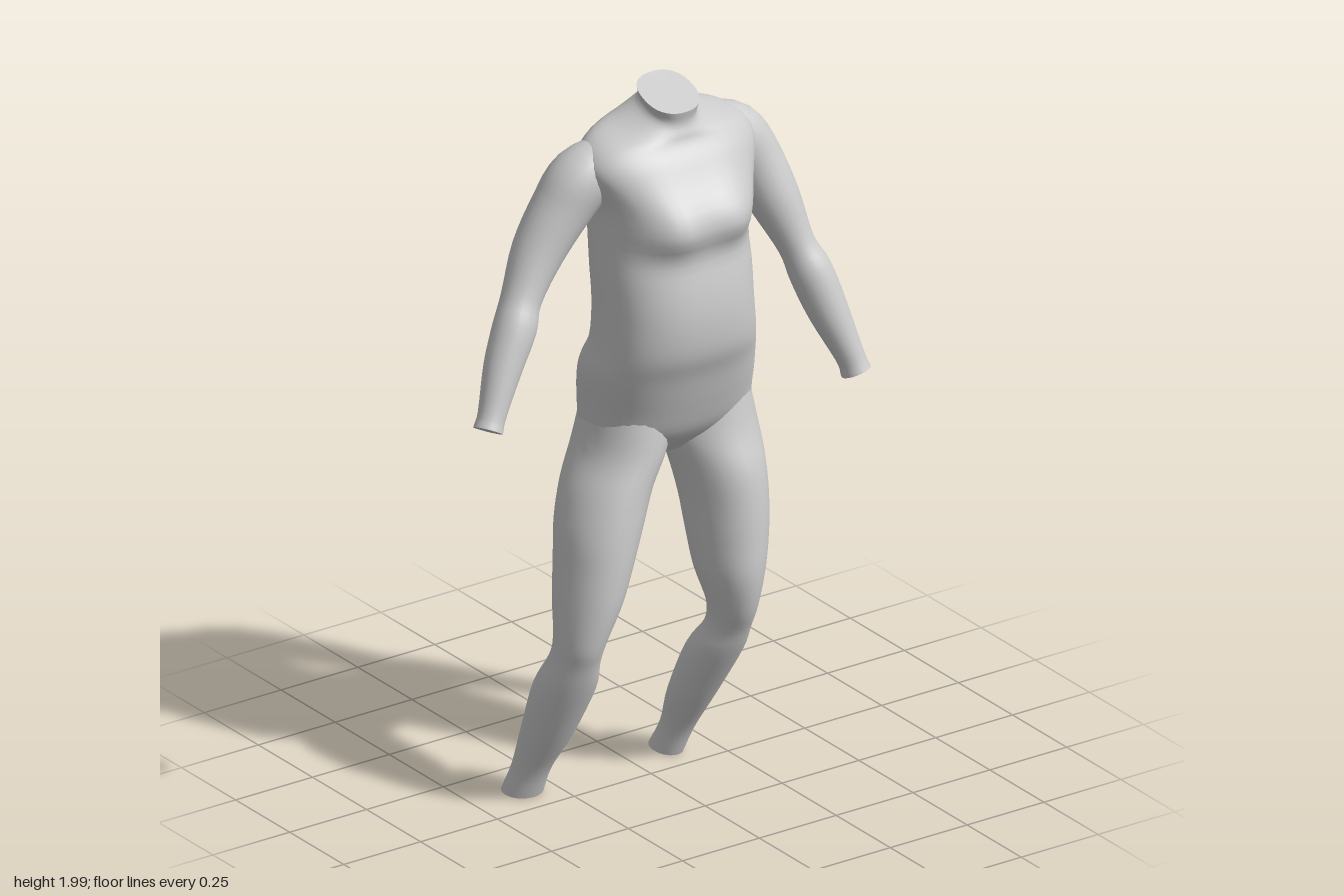
import * as THREE from 'three';

const material = new THREE.MeshStandardMaterial({ color: 0xcccccc, side: THREE.DoubleSide });
const Z = new THREE.Vector3(0, 0, 1);

// Smooth closed skin through cross-sections listed from top to bottom.
// section: { c: centre, r: (half width, half depth, forward slope) }
function loft(name, sections, { sides = 24, steps = 4, power = 1, follow = false, shape } = {}) {
  const centres = new THREE.CatmullRomCurve3(sections.map(s => s.c), false, 'catmullrom', 0.5);
  const radii = new THREE.CatmullRomCurve3(sections.map(s => s.r), false, 'catmullrom', 0.5);
  const rows = (sections.length - 1) * steps;
  const pos = [], index = [];
  const soft = k => Math.sign(k) * Math.abs(k) ** power;
  for (let i = 0; i <= rows; i++) {
    const c = centres.getPoint(i / rows), r = radii.getPoint(i / rows);
    const u = new THREE.Vector3(1, 0, 0), v = new THREE.Vector3(0, r.z, 1);
    if (follow) {
      const t = centres.getTangent(i / rows);
      u.crossVectors(Z, t).normalize();
      v.crossVectors(t, u);
    }
    for (let j = 0; j < sides; j++) {
      const a = j / sides * Math.PI * 2;
      const p = c.clone().addScaledVector(u, soft(Math.cos(a)) * r.x).addScaledVector(v, soft(Math.sin(a)) * r.y);
      if (shape) shape(p, Math.sin(a));
      pos.push(p.x, p.y, p.z);
    }
  }
  for (let i = 0; i < rows; i++) for (let j = 0; j < sides; j++) {
    const a = i * sides + j, b = i * sides + (j + 1) % sides;
    index.push(a, b, a + sides, b, b + sides, a + sides);
  }
  // flat end caps with their own vertices
  for (const row of [0, rows]) {
    const start = pos.length / 3, c = centres.getPoint(row / rows);
    pos.push(...pos.slice(row * sides * 3, (row + 1) * sides * 3), c.x, c.y, c.z);
    for (let j = 0; j < sides; j++) {
      const a = start + j, b = start + (j + 1) % sides, m = start + sides;
      index.push(m, ...(row === 0 ? [b, a] : [a, b]));
    }
  }
  const geo = new THREE.BufferGeometry();
  geo.setAttribute('position', new THREE.Float32BufferAttribute(pos, 3));
  geo.setIndex(index);
  geo.computeVertexNormals();
  const mesh = new THREE.Mesh(geo, material);
  mesh.name = name;
  return mesh;
}

// level section given by its extents: y, x from/to, z back/front, slope
const level = ([y, x0, x1, z0, z1, slope = 0]) => ({
  c: new THREE.Vector3((x0 + x1) / 2, y, (z0 + z1) / 2),
  r: new THREE.Vector3((x1 - x0) / 2, (z1 - z0) / 2, slope),
});
// round section square to the limb: centre and radius
const round = ([x, y, z, r]) => ({ c: new THREE.Vector3(x, y, z), r: new THREE.Vector3(r, r, 0) });

const bell = (d, w) => Math.exp(-d * d / (2 * w * w));

// chest swell in front, spine groove and seat cleft behind
function sculptTorso(p, side) {
  if (side > 0) {
    const drop = p.y > 1.64 ? 0.065 : 0.04;
    for (const x of [-0.04, 0.18]) p.z += 0.055 * side * bell(p.x - x, 0.075) * bell(p.y - 1.64, drop);
  } else {
    p.z -= 0.018 * side * bell(p.x - 0.075, 0.03) * bell(p.y - 1.6, 0.17);
    p.z -= 0.035 * side * bell(p.x - 0.07, 0.03) * bell(p.y - 1.03, 0.06);
  }
}

export function createModel() {
  const model = new THREE.Group();
  model.name = 'body';

  // torso with neck stump
  model.add(loft('torso', [
    [1.97, 0, 0.16, -0.115, 0.045, -0.37],
    [1.935, 0.005, 0.155, -0.12, 0.04, -0.35],
    [1.9, -0.05, 0.21, -0.15, 0.05, -0.22],
    [1.865, -0.145, 0.305, -0.175, 0.06, -0.1],
    [1.8, -0.185, 0.345, -0.2, 0.095],
    [1.7, -0.15, 0.31, -0.207, 0.14],
    [1.6, -0.152, 0.285, -0.192, 0.15],
    [1.5, -0.16, 0.28, -0.175, 0.182],
    [1.4, -0.165, 0.275, -0.157, 0.2],
    [1.3, -0.175, 0.285, -0.155, 0.197],
    [1.22, -0.188, 0.305, -0.19, 0.17],
    [1.12, -0.18, 0.315, -0.208, 0.14],
    [1.03, -0.165, 0.305, -0.185, 0.105],
    [0.96, -0.06, 0.18, -0.12, 0.04],
  ].map(level), { sides: 44, power: 0.85, shape: sculptTorso }));

  // legs, bent at the knee
  model.add(loft('rightLeg', [
    [1.12, -0.165, 0.05, -0.17, 0.1],
    [1.0, -0.2, 0.035, -0.175, 0.12],
    [0.9, -0.258, -0.025, -0.145, 0.135],
    [0.8, -0.297, -0.07, -0.115, 0.15],
    [0.7, -0.315, -0.115, -0.085, 0.16],
    [0.6, -0.332, -0.16, -0.055, 0.163],
    [0.5, -0.345, -0.215, -0.015, 0.152],
    [0.44, -0.352, -0.224, -0.025, 0.135],
    [0.35, -0.374, -0.21, -0.075, 0.105],
    [0.2, -0.38, -0.24, -0.115, 0.035],
    [0.09, -0.382, -0.277, -0.14, -0.025],
    [0.01, -0.4, -0.284, -0.165, -0.055, -0.05],
  ].map(level)));
  model.add(loft('leftLeg', [
    [1.12, 0.09, 0.305, -0.17, 0.1],
    [1.0, 0.055, 0.325, -0.18, 0.13],
    [0.9, 0.075, 0.322, -0.135, 0.168],
    [0.8, 0.09, 0.315, -0.1, 0.187],
    [0.7, 0.095, 0.3, -0.065, 0.2],
    [0.6, 0.102, 0.275, -0.025, 0.207],
    [0.5, 0.125, 0.25, 0.025, 0.19],
    [0.43, 0.128, 0.245, 0.015, 0.16],
    [0.35, 0.1, 0.251, -0.04, 0.125],
    [0.2, 0.09, 0.22, -0.1, 0.04],
    [0.09, 0.1, 0.188, -0.135, -0.025],
    [0.01, 0.085, 0.17, -0.168, -0.058, -0.08],
  ].map(level)));

  // arms, ending at the wrist
  model.add(loft('rightArm', [
    [-0.06, 1.81, -0.07, 0.07],
    [-0.165, 1.765, -0.085, 0.088],
    [-0.235, 1.685, -0.09, 0.082],
    [-0.31, 1.585, -0.085, 0.072],
    [-0.382, 1.478, -0.058, 0.056],
    [-0.42, 1.41, -0.035, 0.06],
    [-0.475, 1.32, -0.01, 0.053],
    [-0.535, 1.21, 0.025, 0.039],
    [-0.556, 1.172, 0.036, 0.041],
  ].map(round), { follow: true }));
  model.add(loft('leftArm', [
    [0.22, 1.82, -0.07, 0.07],
    [0.315, 1.77, -0.075, 0.088],
    [0.368, 1.69, -0.05, 0.08],
    [0.405, 1.58, -0.005, 0.071],
    [0.44, 1.46, 0.045, 0.052],
    [0.465, 1.385, 0.075, 0.06],
    [0.495, 1.28, 0.11, 0.056],
    [0.535, 1.15, 0.158, 0.04],
    [0.546, 1.105, 0.172, 0.042],
  ].map(round), { follow: true }));

  return model;
}
